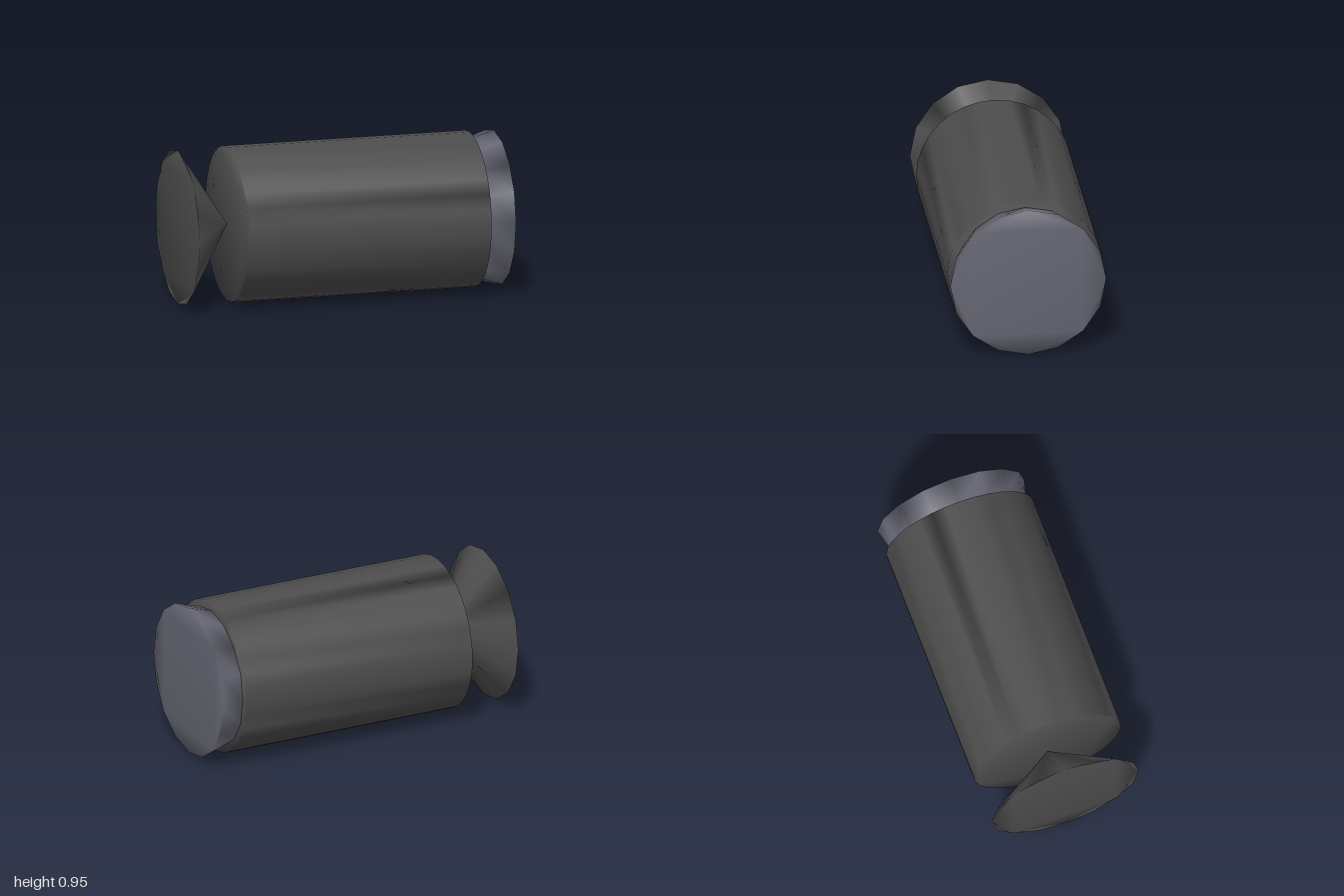
import * as THREE from 'three';

const RADIUS = 0.477;

// Closed drum along x with shared vertices, so shading rolls softly over the end caps
function drum(x0, r0, x1, r1, sides) {
  const pos = [], index = [], circle = [];
  for (let i = 0; i < sides; i++) {
    const a = (i / sides) * Math.PI * 2;
    circle.push(new THREE.Vector2(Math.cos(a), Math.sin(a)));
  }
  for (const [x, r] of [[x0, r0], [x1, r1]]) {
    for (const c of circle) pos.push(x, r * c.x, r * c.y);
  }
  // side wall
  for (let i = 0; i < sides; i++) {
    const j = (i + 1) % sides;
    if (r0 > 0) index.push(i, j, j + sides);
    if (r1 > 0) index.push(i, j + sides, i + sides);
  }
  // flat ends
  for (const [a, b, c] of THREE.ShapeUtils.triangulateShape(circle, [])) {
    if (r0 > 0) index.push(a, c, b);
    if (r1 > 0) index.push(a + sides, b + sides, c + sides);
  }
  const geo = new THREE.BufferGeometry();
  geo.setAttribute('position', new THREE.Float32BufferAttribute(pos, 3));
  geo.setIndex(index);
  geo.computeVertexNormals();
  return geo;
}

export function createModel() {
  const group = new THREE.Group();
  const dark = new THREE.MeshStandardMaterial({ color: 0x4d4d4d });
  const tinted = new THREE.MeshStandardMaterial({ color: 0x666673 });

  const add = (name, geometry, material) => {
    const mesh = new THREE.Mesh(geometry, material);
    mesh.name = name;
    mesh.position.y = RADIUS;
    group.add(mesh);
  };

  // main barrel
  add('body', drum(-0.69, RADIUS, 0.845, RADIUS, 32), dark);
  // cone whose tip touches the barrel
  add('tailCone', drum(-1, RADIUS, -0.69, 0, 16), dark);
  // flared cap on the other end
  add('noseCap', drum(0.845, 0.43, 1, RADIUS, 16), tinted);

  return group;
}
